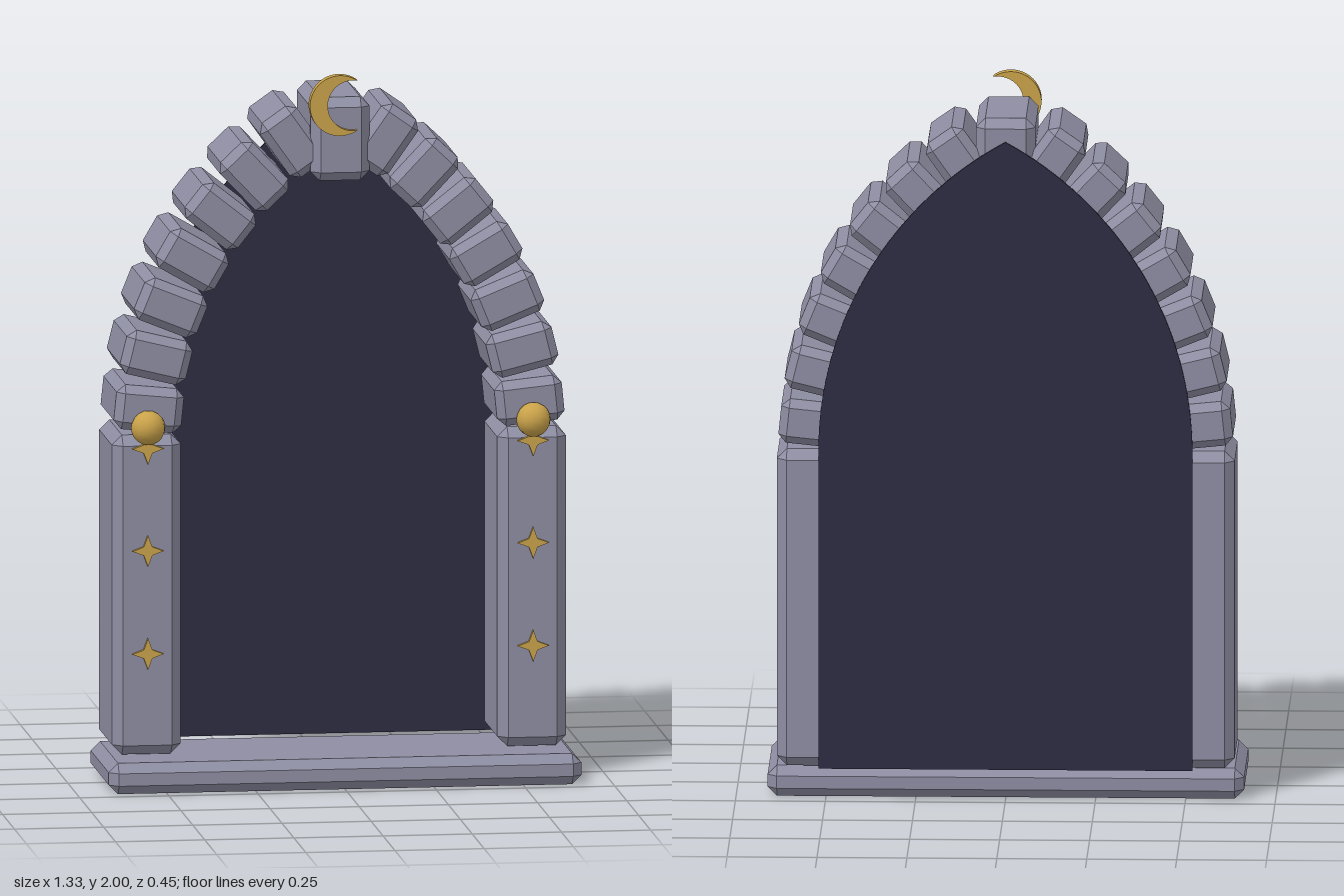
import * as THREE from 'three';
import { ConvexGeometry } from 'three/addons/geometries/ConvexGeometry.js';

const material = (name, color) => {
  const m = new THREE.MeshStandardMaterial({ color });
  m.name = name;
  return m;
};

// Box with every edge and corner cut flat
function chamferBox(w, h, d, c) {
  const half = [w / 2, h / 2, d / 2];
  const points = [];
  for (let axis = 0; axis < 3; axis++) {
    for (const sx of [-1, 1]) for (const sy of [-1, 1]) for (const sz of [-1, 1]) {
      const p = half.map((v, i) => (i === axis ? v : v - c));
      points.push(new THREE.Vector3(sx * p[0], sy * p[1], sz * p[2]));
    }
  }
  return new ConvexGeometry(points);
}

export function createModel() {
  const group = new THREE.Group();
  const stone = material('stone', 0x8e8da2);
  const dark = material('dark opening', 0x2d2c42);
  const gold = material('gold', 0xc9a24a);

  const add = (name, geometry, mat, x, y, z, rotZ = 0) => {
    const mesh = new THREE.Mesh(geometry, mat);
    mesh.name = name;
    mesh.position.set(x, y, z);
    mesh.rotation.z = rotZ;
    group.add(mesh);
  };

  // Threshold slab
  add('threshold', chamferBox(1.325, 0.087, 0.43, 0.026), stone, 0, 0.0435, 0.012);

  // Shared pieces for both sides
  const pillar = chamferBox(0.193, 0.9, 0.32, 0.028);
  const archStone = chamferBox(0.19, 0.126, 0.32, 0.023);
  const ball = new THREE.SphereGeometry(0.048, 14, 10);

  // Four-pointed star
  const starShape = new THREE.Shape();
  for (let i = 0; i < 8; i++) {
    const r = i % 2 ? 0.017 : 0.044;
    const a = (i * Math.PI) / 4;
    starShape[i ? 'lineTo' : 'moveTo'](r * Math.cos(a), r * Math.sin(a));
  }
  const star = new THREE.ExtrudeGeometry(starShape, { depth: 0.02, bevelEnabled: false });

  // Pointed arch: each side is an arc about a centre beyond the middle
  const springY = 0.99, offset = 0.485, radius = 1.021, step = 0.1425;
  for (const side of [1, -1]) {
    const label = side > 0 ? 'left' : 'right';
    add(label + 'Pillar', pillar, stone, side * 0.54, 0.54, -0.06);
    for (let i = 0; i < 7; i++) {
      const a = (i + 0.5) * step;
      add(label + 'ArchStone' + (i + 1), archStone, stone,
        side * (radius * Math.cos(a) - offset), springY + radius * Math.sin(a), -0.06,
        side * (a + 0.03));
    }
    add(label + 'Ball', ball, gold, side * 0.54, 1.015, 0.113);
    [0.377, 0.667, 0.955].forEach((y, i) =>
      add(label + 'Star' + (i + 1), star, gold, side * 0.54, y, 0.092));
  }

  // Keystone at the point of the arch
  add('keystone', chamferBox(0.165, 0.235, 0.34, 0.026), stone, 0, 1.815, -0.05);

  // Crescent moon on the keystone
  const R = 0.085, r = 0.071, cx = 0.036;
  const hornX = (R * R - r * r + cx * cx) / (2 * cx);
  const hornY = Math.sqrt(R * R - hornX * hornX);
  const outer = Math.atan2(hornY, hornX), inner = Math.atan2(hornY, hornX - cx);
  const moon = new THREE.Shape();
  moon.absarc(0, 0, R, outer, 2 * Math.PI - outer, false);
  moon.absarc(cx, 0, r, 2 * Math.PI - inner, inner, true);
  add('moon', new THREE.ExtrudeGeometry(moon, { depth: 0.03, bevelEnabled: false, curveSegments: 20 }),
    gold, -0.005, 1.915, 0.11);

  // Dark panel closing the back of the arch
  const panelR = 1.005, apex = Math.acos(offset / panelR);
  const panel = new THREE.Shape();
  panel.moveTo(-0.52, 0.088);
  panel.lineTo(0.52, 0.088);
  panel.absarc(-offset, springY, panelR, 0, apex, false);
  panel.absarc(offset, springY, panelR, Math.PI - apex, Math.PI, false);
  add('backPanel', new THREE.ExtrudeGeometry(panel, { depth: 0.008, bevelEnabled: false, curveSegments: 16 }),
    dark, 0, 0, -0.227);

  return group;
}
